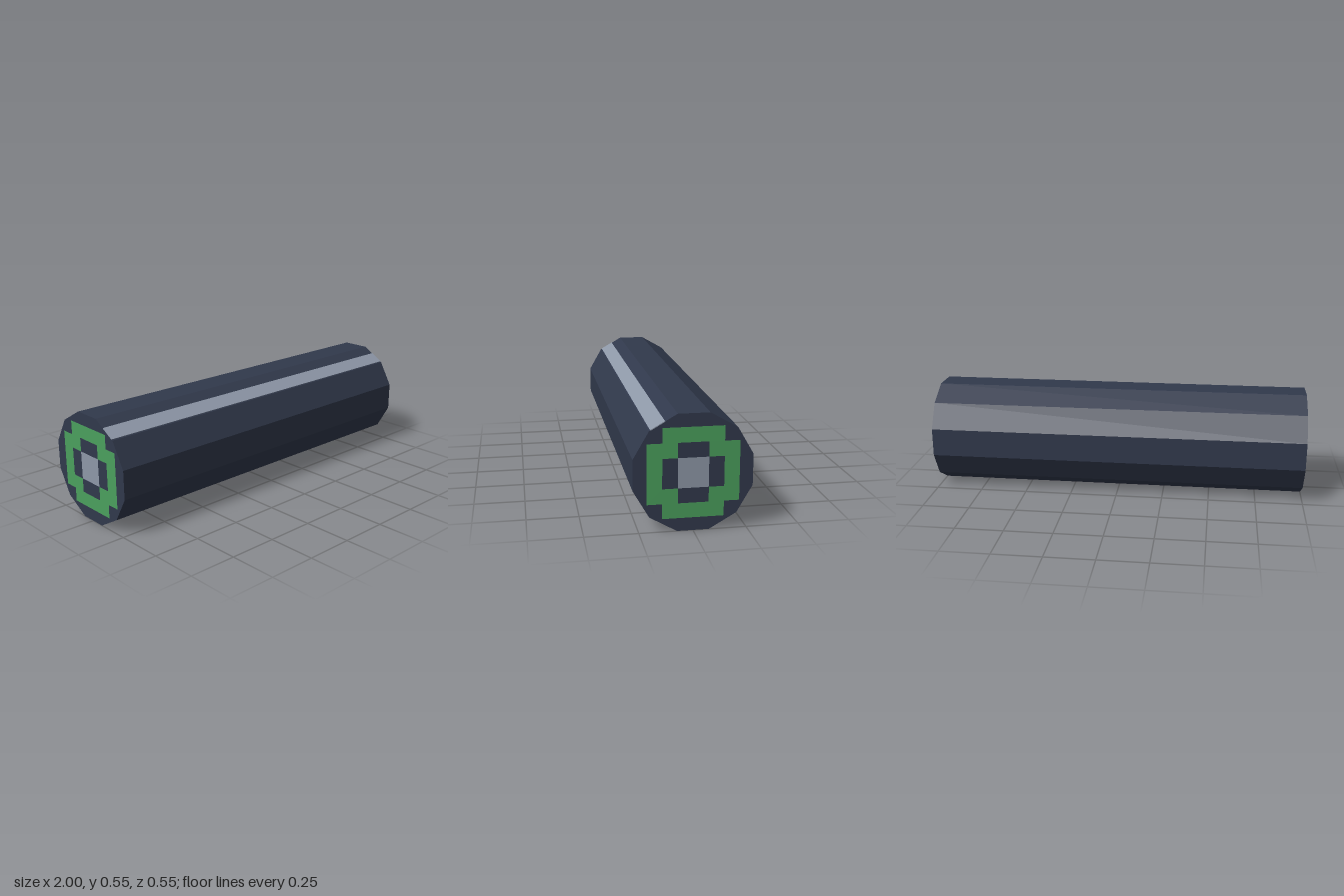
import * as THREE from 'three';

const APOTHEM = 0.2765;
const RADIUS = APOTHEM / Math.cos(Math.PI / 12);
const CELL = 0.0714; // pattern grid on the ends

const polygon = (pts) => pts.map(([x, y]) => new THREE.Vector2(x, y));

// Plus-shaped outline: arms of half-width p reaching out to q
const plus = (p, q) => polygon([
  [p, q], [-p, q], [-p, p], [-q, p], [-q, -p], [-p, -p],
  [-p, -q], [p, -q], [p, -p], [q, -p], [q, p], [p, p],
]);

const square = (s) => polygon([[s, s], [-s, s], [-s, -s], [s, -s]]);

function face(outline, hole) {
  const shape = new THREE.Shape(outline);
  if (hole) shape.holes.push(new THREE.Path(hole));
  return new THREE.ShapeGeometry(shape);
}

export function createModel() {
  const mat = (name, color) => {
    const m = new THREE.MeshStandardMaterial({ color });
    m.name = name;
    return m;
  };
  const navy = mat('dark navy', 0x31394c);
  const green = mat('green', 0x4ba05d);
  const grey = mat('pale grey', 0x8e98a8);

  const model = new THREE.Group();
  model.name = 'cylinder';
  const add = (parent, name, geometry, material) => {
    const mesh = new THREE.Mesh(geometry, material);
    mesh.name = name;
    parent.add(mesh);
    return mesh;
  };

  // Twelve-sided barrel lying along x, with a flat on top
  const barrel = new THREE.CylinderGeometry(RADIUS, RADIUS, 2, 12, 1, true)
    .rotateY(Math.PI / 12).rotateZ(-Math.PI / 2).toNonIndexed();
  barrel.computeVertexNormals();
  add(model, 'barrel', barrel, navy);

  // Pale stripe along the upper front facet
  const stripe = new THREE.BoxGeometry(2, 0.004, 0.077)
    .translate(0, APOTHEM, 0.029).rotateX(Math.PI / 6);
  add(model, 'stripe', stripe, grey);

  // Both ends: nested flat pieces, each cut to fit the next
  const rim = polygon(Array.from({ length: 12 }, (_, i) => {
    const a = (i + 0.5) * Math.PI / 6;
    return [RADIUS * Math.cos(a), RADIUS * Math.sin(a)];
  }));
  const outer = plus(2 * CELL, 3 * CELL);
  const inner = plus(CELL, 2 * CELL);
  const core = square(CELL);
  for (const side of [1, -1]) {
    const end = new THREE.Group();
    end.name = side > 0 ? 'leftEnd' : 'rightEnd';
    add(end, 'endRim', face(rim, outer), navy);
    add(end, 'greenRing', face(outer, inner), green);
    add(end, 'innerCross', face(inner, core), navy);
    add(end, 'core', face(core), grey);
    end.position.x = side;
    end.rotation.y = side * Math.PI / 2;
    model.add(end);
  }

  model.position.y = APOTHEM;
  const root = new THREE.Group();
  root.name = 'model';
  root.add(model);
  return root;
}
